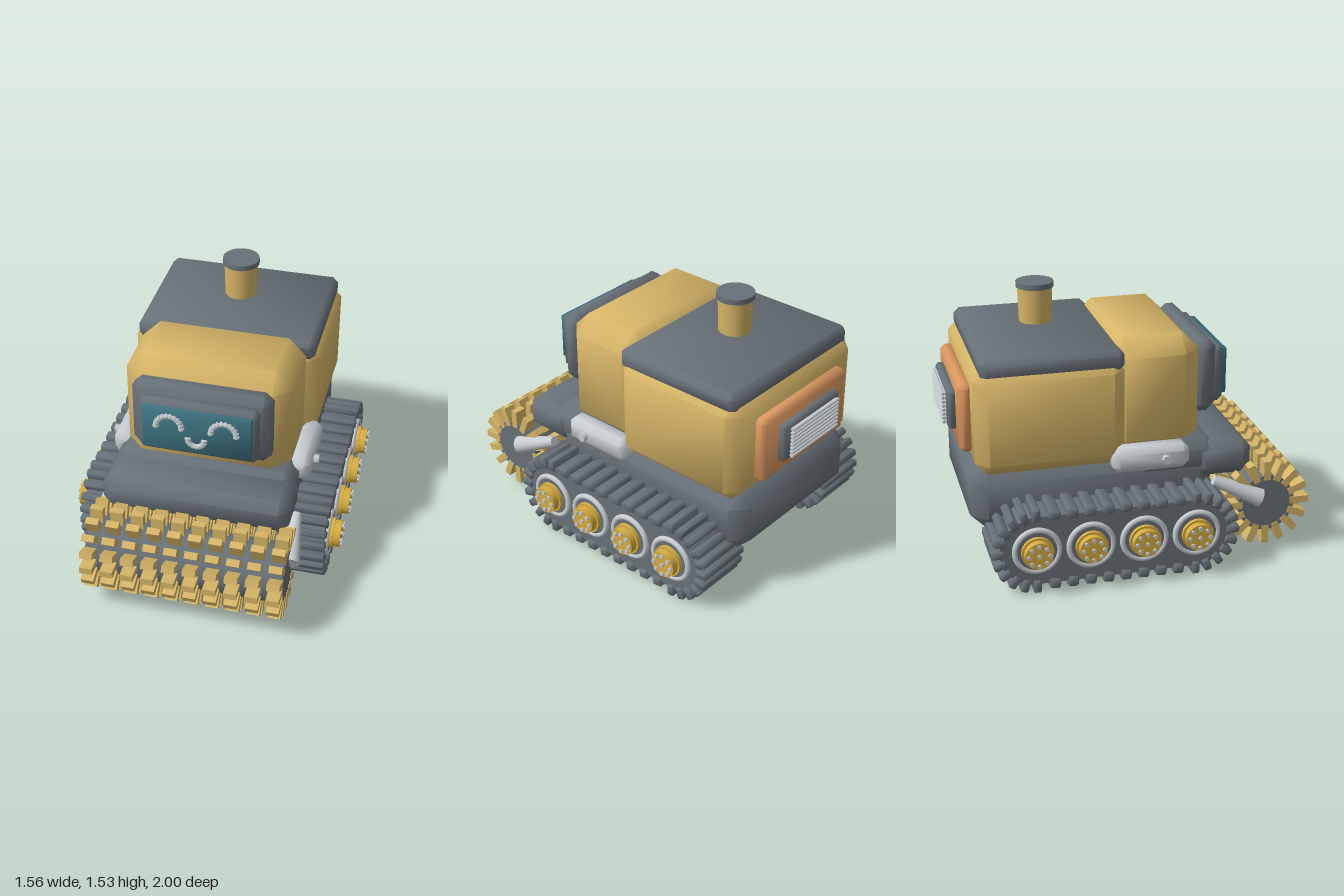
import * as THREE from 'three';
import { toCreasedNormals } from 'three/addons/utils/BufferGeometryUtils.js';
import { ConvexGeometry } from 'three/addons/geometries/ConvexGeometry.js';

const paint = (name, color) => {
  const m = new THREE.MeshStandardMaterial({ color });
  m.name = name;
  return m;
};

// Box with one-step chamfers on every edge, given by its limits [min, max] per axis
function chamferBox([x0, x1], [y0, y1], [z0, z1], c) {
  const h = [(x1 - x0) / 2, (y1 - y0) / 2, (z1 - z0) / 2];
  const pts = [];
  for (let axis = 0; axis < 3; axis++)
    for (const sx of [-1, 1]) for (const sy of [-1, 1]) for (const sz of [-1, 1]) {
      const p = [sx, sy, sz].map((s, i) => s * (i === axis ? h[i] : h[i] - c));
      pts.push(new THREE.Vector3(...p));
    }
  const geo = toCreasedNormals(new ConvexGeometry(pts), 1.0);
  return geo.translate((x0 + x1) / 2, (y0 + y1) / 2, (z0 + z1) / 2);
}

// Cylinder lying along x
const axle = (r0, r1, length, sides) =>
  new THREE.CylinderGeometry(r0, r1, length, sides).rotateZ(-Math.PI / 2);

export function createModel() {
  const model = new THREE.Group();
  model.name = 'trackedMachine';
  const gold = paint('goldPaint', 0xd6b568);
  const hubGold = paint('hubGold', 0xd6ac42);
  const grey = paint('darkGrey', 0x687178);
  const light = paint('lightGrey', 0xc6ccd0);
  const teal = paint('tealScreen', 0x3d7280);
  const orange = paint('orangePanel', 0xd9965f);

  const add = (name, geo, mat, pos = [0, 0, 0], parent = model) => {
    const mesh = new THREE.Mesh(geo, mat);
    mesh.name = name;
    mesh.position.set(...pos);
    parent.add(mesh);
    return mesh;
  };
  const block = (name, mat, x, y, z, c) => add(name, chamferBox(x, y, z, c), mat);

  // Body
  block('chassis', grey, [-0.5, 0.5], [0.27, 0.65], [-0.9, 0.46], 0.09);
  block('deck', grey, [-0.51, 0.51], [0.5, 0.715], [0.0, 0.47], 0.06);
  block('hood', grey, [-0.525, 0.525], [0.48, 0.685], [0.34, 0.67], 0.055);
  block('rearCab', gold, [-0.53, 0.53], [0.61, 1.21], [-0.868, -0.05], 0.07);
  block('head', gold, [-0.465, 0.465], [0.62, 1.295], [-0.14, 0.39], 0.1);
  block('roof', grey, [-0.505, 0.505], [1.143, 1.262], [-0.83, -0.055], 0.03);

  // Chimney
  add('chimney', new THREE.CylinderGeometry(0.096, 0.09, 0.195, 32), gold, [0, 1.403, -0.44]);
  add('chimneyCap', new THREE.CylinderGeometry(0.104, 0.104, 0.03, 32), grey, [0, 1.515, -0.44]);

  // Face
  block('faceFrame', grey, [-0.385, 0.385], [0.815, 1.235], [0.36, 0.495], 0.045);
  block('faceRim', grey, [-0.328, 0.328], [0.852, 1.182], [0.47, 0.55], 0.025);
  block('screen', teal, [-0.3, 0.3], [0.893, 1.157], [0.5, 0.575], 0.004);
  const beadArc = (name, x, y, r, start, count) => {
    const arc = new THREE.Group();
    arc.name = name;
    arc.position.set(x, y, 0.578);
    model.add(arc);
    add('arcCore', new THREE.TorusGeometry(r, 0.011, 8, 24, Math.PI), light, [0, 0, 0], arc).rotation.z = start;
    const bead = new THREE.CylinderGeometry(0.017, 0.017, 0.012, 10);
    for (let i = 0; i < count; i++) {
      const a = start + (i / (count - 1)) * Math.PI;
      add('arcBead', bead, light, [r * Math.cos(a), r * Math.sin(a), 0], arc).rotation.z = a;
    }
  };
  beadArc('leftEye', 0.15, 1.045, 0.07, 0, 12);
  beadArc('rightEye', -0.15, 1.045, 0.07, 0, 12);
  beadArc('mouth', 0, 0.987, 0.045, Math.PI, 9);

  // Rear vent
  block('rearPanel', orange, [-0.365, 0.365], [0.705, 1.092], [-0.932, -0.85], 0.025);
  block('ventFrame', grey, [-0.245, 0.245], [0.8, 1.022], [-0.975, -0.92], 0.015);
  const slat = axle(0.009, 0.009, 0.41, 8);
  for (let i = 0; i < 8; i++) {
    const y = 0.83 + i * 0.0232;
    add('ventSlat', slat, light, [0, y, -0.991], model);
    add('ventSlatBack', new THREE.BoxGeometry(0.4, 0.008, 0.02), light, [0, y, -0.98]);
  }

  // Roller with rings of teeth
  const roller = new THREE.Group();
  roller.name = 'roller';
  roller.position.set(0, 0.305, 0.75);
  model.add(roller);
  add('drum', axle(0.165, 0.165, 1.1, 32), grey, [0, 0, 0], roller);
  const tooth = new THREE.BoxGeometry(0.072, 0.11, 0.04);
  for (let ring = 0; ring < 10; ring++)
    for (let i = 0; i < 16; i++) {
      const a = (i / 16) * Math.PI * 2;
      const x = -0.518 + ring * 0.1151;
      add('tooth', tooth, gold, [x, 0.195 * Math.cos(a), 0.195 * Math.sin(a)], roller).rotation.x = a;
    }

  // Track outline in (z, y) about the track's own centre
  const half = 0.4425, trackY = 0.245, trackZ = -0.1475;
  const stadium = new THREE.Shape();
  stadium.absarc(half, 0, 0.198, -Math.PI / 2, Math.PI / 2, false);
  stadium.absarc(-half, 0, 0.198, Math.PI / 2, Math.PI * 1.5, false);
  const beltGeo = toCreasedNormals(
    new THREE.ExtrudeGeometry(stadium, { depth: 0.305, bevelEnabled: false, curveSegments: 20 })
      .translate(0, 0, -0.1525).rotateY(-Math.PI / 2), 0.6);
  const plate = chamferBox([-0.168, 0.168], [-0.028, 0.028], [-0.03, 0.03], 0.009);
  const lug = chamferBox([-0.168, 0.168], [-0.035, 0.035], [-0.021, 0.021], 0.007);

  for (const s of [1, -1]) {
    const side = s > 0 ? 'left' : 'right';
    const track = new THREE.Group();
    track.name = side + 'Track';
    track.position.set(s * 0.5425, trackY, trackZ);
    model.add(track);
    add('belt', beltGeo, grey, [0, 0, 0], track);

    // Plates on the straights, lugs around both ends
    for (const v of [1, -1]) {
      for (let i = 1; i < 9; i++)
        add('treadPlate', plate, grey, [0, v * 0.203, -half + i * half * 2 / 9], track).rotation.x = 0.12;
      for (let i = 0; i <= 10; i++) {
        const a = (i / 10) * Math.PI;
        const z = v * (half + 0.21 * Math.sin(a));
        add('treadLug', lug, grey, [0, 0.21 * Math.cos(a), z], track).rotation.x = v * a;
      }
    }

    // Four road wheels with bolted hubs
    for (let i = 0; i < 4; i++) {
      const wheel = new THREE.Group();
      wheel.name = side + 'Wheel';
      wheel.position.set(s * 0.7, 0.25, 0.295 - i * 0.295);
      model.add(wheel);
      add('wheelRing', new THREE.TorusGeometry(0.12, 0.016, 10, 40).rotateY(Math.PI / 2), light, [0, 0, 0], wheel);
      add('wheelDisc', axle(0.11, 0.11, 0.02, 32), grey, [0, 0, 0], wheel);
      add('hubBase', axle(0.088, 0.088, 0.04, 28), hubGold, [s * 0.012, 0, 0], wheel);
      add('hub', axle(0.076, 0.076, 0.07, 28), hubGold, [s * 0.036, 0, 0], wheel);
      const bolt = axle(0.0115, 0.0115, 0.02, 8);
      add('hubBolt', bolt, light, [s * 0.072, 0, 0], wheel);
      for (let k = 0; k < 8; k++) {
        const a = (k / 8) * Math.PI * 2;
        add('hubBolt', bolt, light, [s * 0.072, 0.057 * Math.cos(a), 0.057 * Math.sin(a)], wheel);
      }
    }

    // Fender with its hexagonal bolt
    const fx = s > 0 ? [0.44, 0.568] : [-0.568, -0.44];
    block(side + 'Fender', light, fx, [0.575, 0.717], [-0.135, 0.295], 0.035);
    add(side + 'FenderBolt', axle(0.026, 0.026, 0.03, 6), light, [s * 0.583, 0.648, 0.155]);

    // Roller arm, flaring towards the drum
    const from = new THREE.Vector3(s * 0.53, 0.47, 0.44), to = new THREE.Vector3(s * 0.555, 0.345, 0.71);
    const dir = to.clone().sub(from);
    const arm = add(side + 'RollerArm', new THREE.CylinderGeometry(0.053, 0.03, dir.length(), 20), light,
      from.clone().add(to).multiplyScalar(0.5).toArray());
    arm.quaternion.setFromUnitVectors(new THREE.Vector3(0, 1, 0), dir.normalize());
  }
  return model;
}
